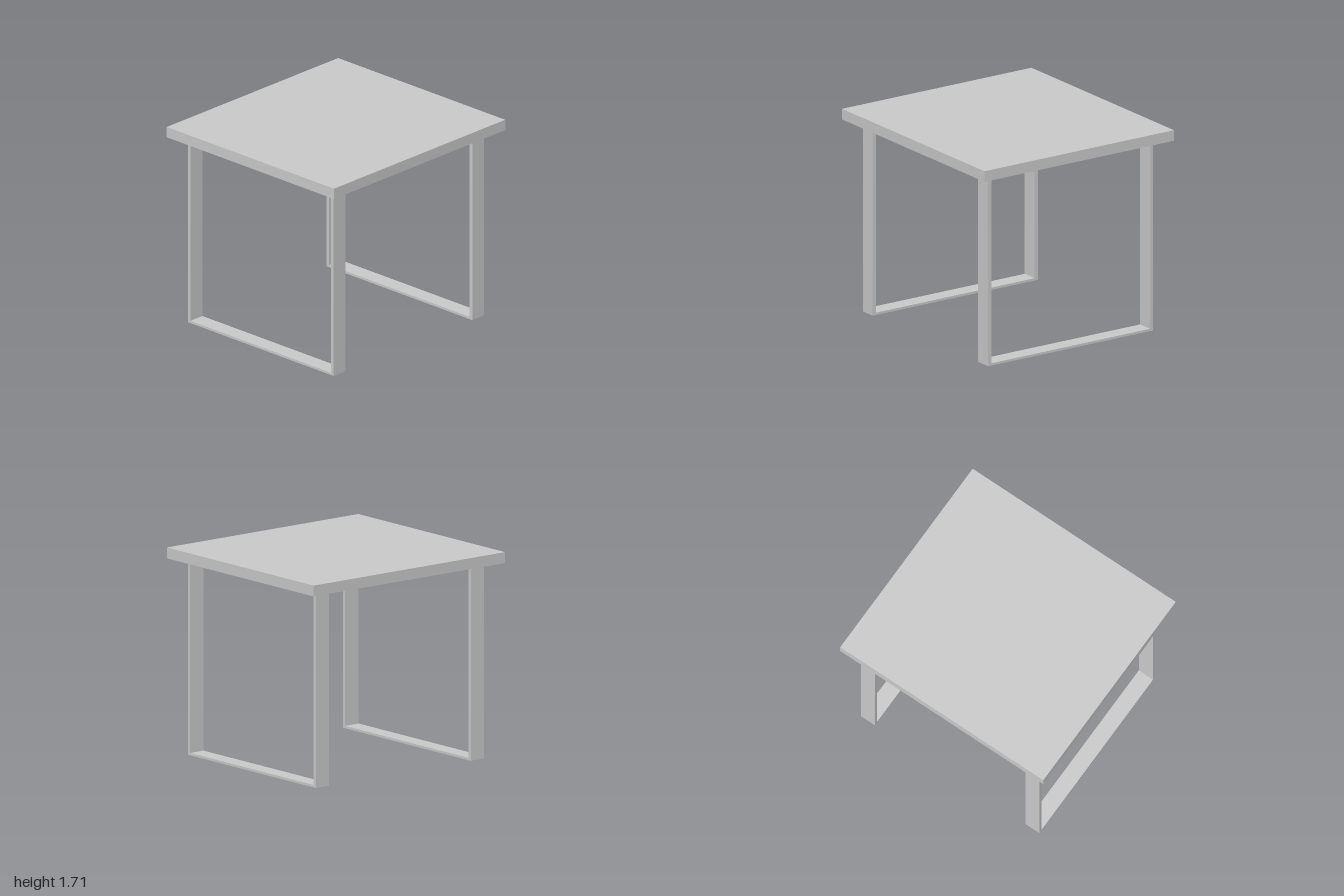
import * as THREE from 'three';

export function createModel() {
  const group = new THREE.Group();
  group.name = 'table';
  const material = new THREE.MeshStandardMaterial({ color: 0xcccccc, flatShading: true });

  const topBottom = 1.62, topThickness = 0.09;
  const legWidth = 0.14, legX = 0.81;
  const outerZ = 0.815, innerZ = 0.785, barThickness = 0.02;

  // Table top
  const top = new THREE.Mesh(new THREE.BoxGeometry(2, topThickness, 1.87), material);
  top.name = 'tableTop';
  top.position.y = topBottom + topThickness / 2;
  group.add(top);

  // U-shaped flat-bar frame, drawn in profile (z, y) and extruded across its width
  const profile = new THREE.Shape([
    [-outerZ, 0], [outerZ, 0], [outerZ, topBottom], [innerZ, topBottom],
    [innerZ, barThickness], [-innerZ, barThickness], [-innerZ, topBottom], [-outerZ, topBottom],
  ].map(([z, y]) => new THREE.Vector2(z, y)));
  const frameGeometry = new THREE.ExtrudeGeometry(profile, { depth: legWidth, bevelEnabled: false });
  frameGeometry.translate(0, 0, -legWidth / 2).rotateY(Math.PI / 2);

  // One frame on each side
  for (const [name, side] of [['leftLegFrame', 1], ['rightLegFrame', -1]]) {
    const frame = new THREE.Mesh(frameGeometry, material);
    frame.name = name;
    frame.position.x = side * legX;
    group.add(frame);
  }

  return group;
}
